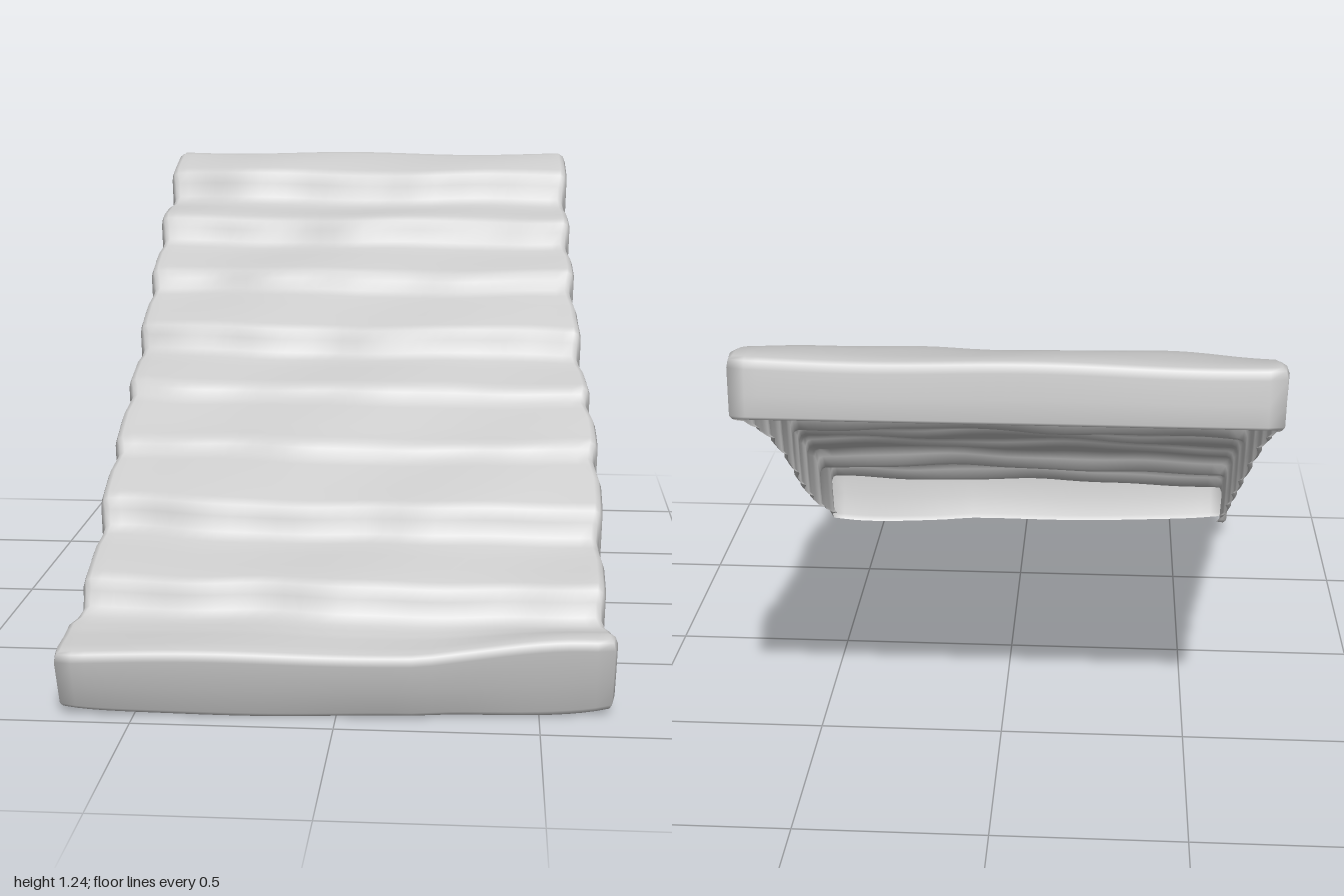
import * as THREE from 'three';

// Piecewise linear lookup in a list of [key, value] pairs (keys ascending)
function lerpTable(table, k) {
  if (k <= table[0][0]) return table[0][1];
  for (let i = 1; i < table.length; i++) {
    const [k0, v0] = table[i - 1], [k1, v1] = table[i];
    if (k <= k1) return v0 + (v1 - v0) * (k - k0) / (k1 - k0);
  }
  return table[table.length - 1][1];
}

// Risers from front to back: z, height at foot, height at lip
const RISERS = [
  [0.775, 0.205, 0.295], [0.545, 0.345, 0.44], [0.33, 0.505, 0.56], [0.125, 0.62, 0.675],
  [-0.07, 0.715, 0.805], [-0.295, 0.868, 0.94], [-0.505, 0.985, 1.075], [-0.71, 1.098, 1.205],
];

// Side outlines and lower rim, by z
const LEFT = [[-0.99, -0.685], [-0.5, -0.68], [0, -0.67], [0.4, -0.67], [0.72, -0.665], [0.82, -0.69], [1, -0.69]];
const RIGHT = [[-0.98, 0.602], [-0.6, 0.607], [-0.2, 0.622], [0, 0.64], [0.2, 0.66], [0.4, 0.668], [0.75, 0.665], [0.88, 0.69], [1, 0.67]];
const RIM = [[-0.99, 1.10], [-0.85, 1.045], [-0.7, 0.965], [-0.5, 0.86], [-0.3, 0.73], [0, 0.535],
  [0.3, 0.35], [0.5, 0.225], [0.73, 0.1], [0.88, 0.025], [0.95, 0]];

// How far the front edge and the risers shift along z across the width (s from -1 to 1)
const FRONT_SHIFT = [[-1, 0.03], [0, 0.002], [0.3, -0.005], [0.45, -0.025], [1, -0.055]];
const RISER_SHIFT = [[-1, -0.03], [-0.5, -0.01], [0, 0.005], [0.3, 0.002], [1, -0.018]];

// Stepped profile along the stair; the third value marks a riser foot
function stairProfile() {
  const pts = [[0.95, 0.178, 0], [0.92, 0.184, 0], [0.87, 0.187, 0]];
  for (const [z, foot, lip] of RISERS) {
    const [pz, py] = pts[pts.length - 1];
    for (const t of [0.35, 0.7]) pts.push([pz + (z + 0.04 - pz) * t, py + (foot - 0.006 - py) * t, 0]);
    const h = lip - foot;
    pts.push([z + 0.035, foot - 0.004, 0.6], [z + 0.008, foot + h * 0.15, 1],
      [z - 0.006, foot + h * 0.55, 0.7], [z - 0.017, foot + h * 0.86, 0.2], [z - 0.042, lip, 0]);
  }
  pts.push([-0.83, 1.225, 0], [-0.91, 1.24, 0], [-0.955, 1.242, 0]);
  return pts;
}

function createStairGeometry() {
  const profile = stairProfile(), rows = profile.length, cols = 33;
  const pos = [], index = [];

  // Worn treads and risers
  profile.forEach(([pz, py, foot], i) => {
    const front = THREE.MathUtils.smoothstep(pz, 0.78, 0.95);
    const back = THREE.MathUtils.smoothstep(-pz, 0.74, 0.95);
    for (let j = 0; j < cols; j++) {
      // Columns crowd towards the two sides
      const t = j / (cols - 1) * 2 - 1;
      const s = 0.7 * t + 0.3 * Math.sin(t * Math.PI / 2);
      const wear = 0.006 * Math.sin(s * 7 + pz * 9) + 0.004 * Math.sin(s * 13 - pz * 5);
      const z = pz + THREE.MathUtils.lerp(lerpTable(RISER_SHIFT, s) + wear, lerpTable(FRONT_SHIFT, s), front) * (1 - back);
      const pinch = 0.018 + 0.012 * foot;
      const l = lerpTable(LEFT, z) + pinch, r = lerpTable(RIGHT, z) - pinch;
      const raise = 0.03 * front * THREE.MathUtils.smoothstep(s, 0.3, 0.9);
      const y = py + raise + 0.004 * Math.sin(s * 5 + pz * 11);
      pos.push((l + r) / 2 + s * (r - l) / 2, y, z);
      if (i && j) {
        const c = i * cols + j, a = c - cols - 1;
        index.push(a, a + 1, c, a, c, c - 1);
      }
    }
  });

  // Walk round the border: front, right, back, left
  const loop = [];
  for (let j = 0; j < cols; j++) loop.push([0, j]);
  for (let i = 1; i < rows; i++) loop.push([i, cols - 1]);
  for (let j = cols - 2; j >= 0; j--) loop.push([rows - 1, j]);
  for (let i = rows - 2; i > 0; i--) loop.push([i, 0]);

  // Rounded shoulder and outer walls, open underneath
  let previous = loop.map(([i, j]) => i * cols + j);
  const rings = [[0.013, 0.006, 0], [0.02, 0.025, 0], [0.018, 0, 0.5], [0.016, 0, 0.92], [0.006, 0, 1]];
  for (const [out, drop, down] of rings) {
    const ring = loop.map(([i, j]) => {
      const k = (i * cols + j) * 3;
      const dx = j === 0 ? -1 : j === cols - 1 ? 1 : 0;
      const dz = i === 0 ? 1 : i === rows - 1 ? -1 : 0;
      const f = dx && dz ? out * 0.6 : out;
      // Front and back walls lean along the slope
      const lean = dz > 0 ? -0.035 : dz < 0 ? -0.018 : -0.035 * THREE.MathUtils.smoothstep(pos[k + 2], 0.8, 0.95);
      const z = pos[k + 2] + dz * f + lean * down;
      const s = pos[k] / 0.69;
      const rim = dz > 0 ? 0.004 + 0.003 * Math.sin(s * 6) + 0.02 * s ** 8
        : dz < 0 ? 1.098 : lerpTable(RIM, z);
      const top = pos[k + 1] - (drop || 0.025);
      pos.push(pos[k] + dx * f, THREE.MathUtils.lerp(top, rim, down), z);
      return pos.length / 3 - 1;
    });
    ring.forEach((b0, n) => {
      const m = (n + 1) % ring.length;
      index.push(b0, ring[m], previous[m], b0, previous[m], previous[n]);
    });
    previous = ring;
  }

  const geometry = new THREE.BufferGeometry();
  geometry.setAttribute('position', new THREE.Float32BufferAttribute(pos, 3));
  geometry.setIndex(index);
  geometry.computeVertexNormals();
  return geometry;
}

export function createModel() {
  const group = new THREE.Group();
  group.name = 'wornStaircase';
  const material = new THREE.MeshStandardMaterial({ color: 0xcccccc, side: THREE.DoubleSide });
  const stairs = new THREE.Mesh(createStairGeometry(), material);
  stairs.name = 'stairShell';
  group.add(stairs);
  return group;
}
